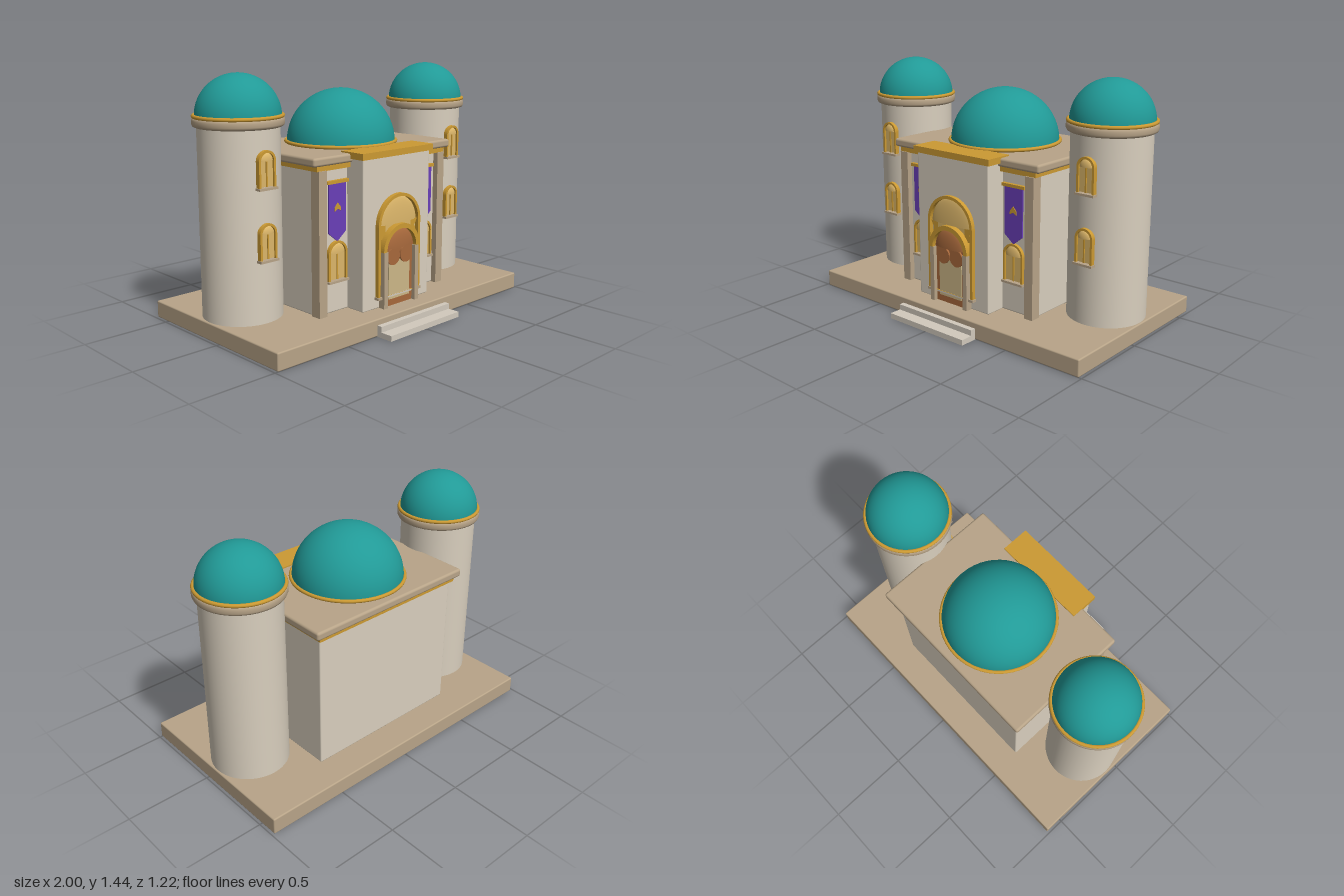
import * as THREE from 'three';
import { RoundedBoxGeometry } from 'three/addons/geometries/RoundedBoxGeometry.js';

const mat = (name, color, side = THREE.FrontSide) => {
  const m = new THREE.MeshStandardMaterial({ color, side });
  m.name = name;
  return m;
};

export function createModel() {
  const root = new THREE.Group();
  root.name = 'domedPalace';
  const stone = mat('paleStone', 0xd9cfbe);
  const sand = mat('sandstone', 0xb8a488);
  const step = mat('stepStone', 0xd2cabd);
  const gold = mat('gold', 0xcc9a33);
  const pane = mat('amberPane', 0xdcb66a);
  const teal = mat('tealDome', 0x219a97);
  const purple = mat('purpleCloth', 0x6a3fb8, THREE.DoubleSide);
  const wood = mat('doorWood', 0xa8693c);
  const panel = mat('doorPanel', 0xcdb787);

  const add = (name, geo, m, x = 0, y = 0, z = 0, parent = root) => {
    const mesh = new THREE.Mesh(geo, m);
    mesh.name = name;
    mesh.position.set(x, y, z);
    parent.add(mesh);
    return mesh;
  };
  // Box given by its limits, optionally rounded
  const box = (name, m, [x0, x1], [y0, y1], [z0, z1], r = 0, parent = root) => {
    const s = [x1 - x0, y1 - y0, z1 - z0];
    const geo = r ? new RoundedBoxGeometry(...s, 3, r) : new THREE.BoxGeometry(...s);
    return add(name, geo, m, (x0 + x1) / 2, (y0 + y1) / 2, (z0 + z1) / 2, parent);
  };
  // Round-headed outline: half width w, from y0 up to the spring line
  const archPath = (w, y0, spring, P = THREE.Shape) => {
    const p = new P();
    p.moveTo(-w, y0);
    p.lineTo(w, y0);
    p.lineTo(w, spring);
    p.absarc(0, spring, w, 0, Math.PI, false);
    p.lineTo(-w, y0);
    return p;
  };
  const extrude = (shape, depth) =>
    new THREE.ExtrudeGeometry(shape, { depth, bevelEnabled: false, curveSegments: 20 });
  const archFrame = (w, t, y0, spring, depth) => {
    const s = archPath(w, y0, spring);
    s.holes.push(archPath(w - t, y0 + 0.001, spring, THREE.Path));
    return extrude(s, depth);
  };
  // Shallow half dome set against a wall, filling an arch head
  const archHead = (name, m, r, depth, y, z, parent = root) => {
    const g = new THREE.SphereGeometry(r, 28, 12, 0, Math.PI, 0, Math.PI / 2);
    g.scale(1, 1, depth / r);
    const mesh = add(name, g, m, 0, y, z, parent);
    const floor = add(name + 'Underside', new THREE.CircleGeometry(r, 28, 0, Math.PI), m, 0, y, z, parent);
    floor.scale.y = depth / r;
    floor.rotation.x = Math.PI / 2;
    return mesh;
  };
  const addWindow = (name, x, y, z, w, h) => {
    const g = new THREE.Group();
    g.name = name;
    g.position.set(x, y, z);
    root.add(g);
    const spring = h - w;
    add('windowFrame', archFrame(w, 0.013, 0, spring, 0.035), gold, 0, 0, -0.015, g);
    add('windowPane', extrude(archPath(w - 0.01, 0.01, spring), 0.02), pane, 0, 0, -0.012, g);
    archHead('windowHead', pane, w - 0.014, 0.018, spring, 0.008, g);
    box('windowMullion', gold, [-0.004, 0.004], [0.01, spring], [0, 0.014], 0, g);
    box('windowSill', sand, [-w - 0.005, w + 0.005], [-0.006, 0.007], [-0.015, 0.03], 0, g);
  };
  const addDome = (name, x, y, z, r, h) => {
    const g = new THREE.SphereGeometry(r, 48, 20, 0, Math.PI * 2, 0, Math.PI / 2);
    g.scale(1, h / r, 1);
    add(name, g, teal, x, y, z);
    const ring = new THREE.TorusGeometry(r + 0.005, 0.011, 10, 48);
    ring.rotateX(Math.PI / 2);
    add(name + 'Ring', ring, gold, x, y + 0.004, z);
  };

  // Platform and front steps
  box('platform', sand, [-0.985, 0.985], [0, 0.1], [-0.61, 0.505], 0.008);
  box('lowerStep', step, [-0.285, 0.285], [0, 0.032], [0.48, 0.61]);
  box('upperStep', step, [-0.285, 0.285], [0.03, 0.065], [0.48, 0.537]);

  // Main hall, cornice and roof
  box('hall', stone, [-0.5, 0.5], [0.1, 0.93], [-0.425, 0.25], 0.008);
  box('corniceBand', gold, [-0.515, 0.515], [0.916, 0.946], [-0.445, 0.275]);
  box('roofSlab', sand, [-0.55, 0.55], [0.945, 0.994], [-0.47, 0.293], 0.014);
  addDome('mainDome', 0, 1.0, -0.09, 0.322, 0.315);

  // Projecting portal block with gilded cap
  box('portalBlock', stone, [-0.27, 0.27], [0.1, 0.968], [0.2, 0.376], 0.006);
  box('portalCap', gold, [-0.287, 0.287], [0.965, 1.002], [0.22, 0.39]);

  // Tall arch around the entrance
  add('portalArch', archFrame(0.172, 0.018, 0.165, 0.578, 0.03), gold, 0, 0, 0.371);
  archHead('portalHead', pane, 0.156, 0.022, 0.578, 0.376);
  box('portalHeadBase', pane, [-0.125, 0.125], [0.5, 0.58], [0.37, 0.384]);
  for (const s of [-1, 1]) {
    const bracket = new THREE.Shape([[0, 0.58], [0.052, 0.58], [0.034, 0.545], [0.04, 0.5], [0, 0.5]]
      .map(([x, y]) => new THREE.Vector2(s * (0.105 + x), y)));
    add('archBracket', extrude(bracket, 0.016), gold, 0, 0, 0.371);
    box('archFoot', sand, s > 0 ? [0.145, 0.178] : [-0.178, -0.145], [0.155, 0.17], [0.37, 0.407]);
    box('doorPost', sand, s > 0 ? [0.112, 0.142] : [-0.142, -0.112], [0.1, 0.43], [0.37, 0.418]);
  }

  // Door with round hood
  add('door', extrude(archPath(0.12, 0.1, 0.43), 0.022), wood, 0, 0, 0.371);
  archHead('doorHead', wood, 0.113, 0.028, 0.44, 0.392);
  box('doorPanel', panel, [-0.086, 0.086], [0.14, 0.365], [0.39, 0.398]);
  box('doorRail', step, [-0.105, 0.105], [0.155, 0.166], [0.392, 0.4]);
  for (const s of [-1, 1]) {
    const cusp = new THREE.CylinderGeometry(0.05, 0.05, 0.012, 20);
    cusp.rotateX(Math.PI / 2);
    add('doorCusp', cusp, wood, s * 0.052, 0.39, 0.399);
  }
  const hood = new THREE.Shape();
  hood.absarc(0, 0.43, 0.147, 0, Math.PI, false);
  hood.absarc(0, 0.43, 0.12, Math.PI, 0, true);
  add('doorHood', extrude(hood, 0.048), gold, 0, 0, 0.371);

  for (const s of [-1, 1]) {
    // Corner pilaster
    box('pilaster', sand, s > 0 ? [0.453, 0.51] : [-0.51, -0.453], [0.1, 0.918], [0.22, 0.284]);

    // Banner hanging on a gold rod
    const x = s * 0.357;
    const cloth = new THREE.Shape([[-0.063, 0.84], [-0.063, 0.56], [0, 0.51], [0.063, 0.56], [0.063, 0.84]]
      .map(([a, b]) => new THREE.Vector2(a, b)));
    add('banner', extrude(cloth, 0.008), purple, x, 0, 0.256);
    box('bannerRod', gold, [x - 0.08, x + 0.08], [0.836, 0.854], [0.248, 0.272]);
    const ornament = new THREE.Shape([[-0.024, 0.68], [0, 0.694], [0.024, 0.68], [0.022, 0.702], [0, 0.728], [-0.022, 0.702]]
      .map(([a, b]) => new THREE.Vector2(a, b)));
    add('bannerOrnament', extrude(ornament, 0.004), gold, x, 0, 0.264);
    addWindow('hallWindow', x, 0.282, 0.25, 0.07, 0.23);

    // Round tower
    const tx = s * 0.75, tz = -0.09;
    add('towerShaft', new THREE.CylinderGeometry(0.225, 0.225, 1.07, 48), stone, tx, 0.635, tz);
    const rim = [[0, 1.152], [0.235, 1.152], [0.245, 1.157], [0.25, 1.168], [0.25, 1.188], [0.246, 1.199], [0.238, 1.205], [0, 1.205]]
      .map(([r, y]) => new THREE.Vector2(r, y));
    add('towerRim', new THREE.LatheGeometry(rim, 48), sand, tx, 0, tz);
    addDome('towerDome', tx, 1.205, tz, 0.234, 0.231);
    for (const y of [0.452, 0.842]) addWindow('towerWindow', tx, y, 0.135, 0.056, 0.204);
  }
  return root;
}
